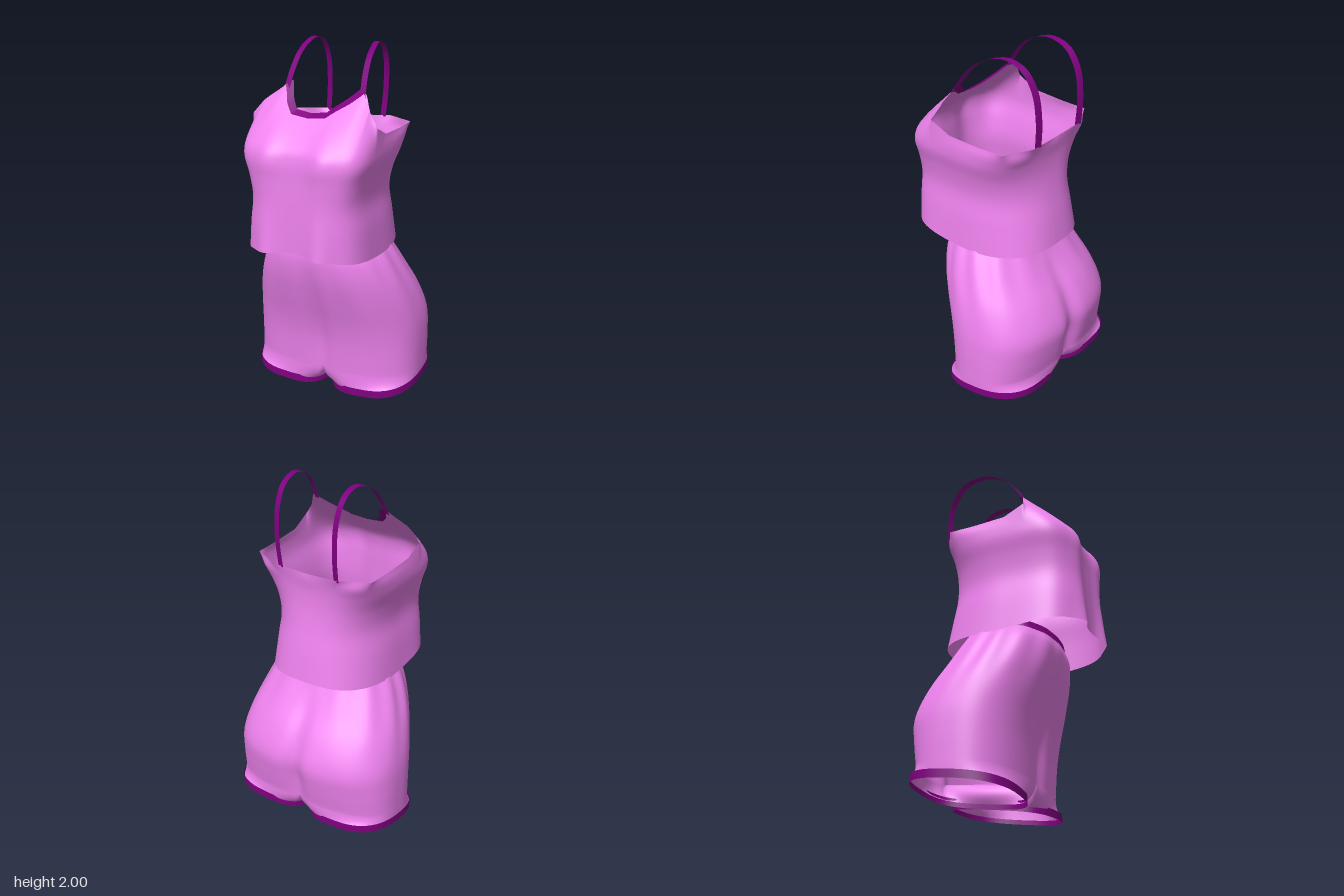
import * as THREE from 'three';
import { mergeGeometries, mergeVertices } from 'three/addons/utils/BufferGeometryUtils.js';

const pink = new THREE.MeshStandardMaterial({ color: 0xee82ee, side: THREE.DoubleSide });
const purple = new THREE.MeshStandardMaterial({ color: 0x800080, side: THREE.DoubleSide });
const V = (x, y, z) => new THREE.Vector3(x, y, z);
const { degToRad, lerp } = THREE.MathUtils;

// Surface grid from f(u, v); flip reverses the winding for mirrored halves
function grid(nu, nv, f, flip = false) {
  const pos = [], idx = [];
  for (let i = 0; i <= nu; i++)
    for (let j = 0; j <= nv; j++) pos.push(...f(i / nu, j / nv).toArray());
  for (let i = 0; i < nu; i++)
    for (let j = 0; j < nv; j++) {
      const a = i * (nv + 1) + j, b = a + nv + 1;
      if (flip) idx.push(a, b + 1, b, a, a + 1, b + 1);
      else idx.push(a, b, b + 1, a, b + 1, a + 1);
    }
  const g = new THREE.BufferGeometry();
  g.setAttribute('position', new THREE.Float32BufferAttribute(pos, 3));
  g.setIndex(idx);
  return g;
}

// Weld the patches of a part and smooth it
function part(name, material, ...patches) {
  const g = mergeVertices(mergeGeometries(patches), 1e-4);
  g.computeVertexNormals();
  const mesh = new THREE.Mesh(g, material);
  mesh.name = name;
  return mesh;
}

// Unit superellipse: [x, z] in direction a, starting at the front
function squircle(a, n) {
  const s = Math.sin(a), c = Math.cos(a);
  const r = (Math.abs(s) ** n + Math.abs(c) ** n) ** (-1 / n);
  return [s * r, c * r];
}

// ---- Camisole ----
// y, half width, front z, back z, front lobe depth, squareness of front and back
const shirtRows = [
  [0.92, 0.348, 0.445, -0.367, 0.042, 4.2, 2.6],
  [1.08, 0.335, 0.445, -0.345, 0.025, 4.2, 2.4],
  [1.22, 0.32, 0.442, -0.32, 0.015, 4.2, 2.4],
  [1.34, 0.338, 0.437, -0.305, 0.018, 4.6, 2.7],
  [1.44, 0.366, 0.432, -0.305, 0.025, 5, 3.4],
  [1.51, 0.37, 0.41, -0.315, 0.02, 4.6, 4.6],
];
// Upper edge from front centre to back centre: angle, x, y, z
const edge = [
  [0, 0, 1.65, 0.27], [18, 0.1, 1.66, 0.262], [29, 0.175, 1.72, 0.2], [36, 0.235, 1.785, 0.135],
  [46, 0.305, 1.71, 0.18], [68, 0.37, 1.625, 0.21], [82, 0.365, 1.57, 0.09], [105, 0.36, 1.56, -0.1],
  [132, 0.355, 1.56, -0.25], [155, 0.2, 1.56, -0.33], [180, 0, 1.545, -0.315],
];

// The strap points sit slightly towards the left
function topEdge(deg) {
  const d = Math.abs(deg), s = Math.sign(deg) || 1;
  let i = 0;
  while (i < edge.length - 2 && edge[i + 1][0] < d) i++;
  const [a, b] = [edge[i], edge[i + 1]];
  const t = (d - a[0]) / (b[0] - a[0]);
  const p = V(...a.slice(1)).lerp(V(...b.slice(1)), t);
  return p.setX(p.x * s + 0.03 * Math.exp(-(((d - 36) / 8) ** 2)));
}

// Broad, square front and a rounder back
function shirtPoint([y, w, zf, zb, lobe, nFront, nBack], a, isHem) {
  const front = Math.cos(a) > 0, zc = 0.08;
  const [sx, sz] = squircle(a, front ? nFront : nBack);
  const x = w * sx;
  let z = zc + (front ? zf - zc : zc - zb) * sz;
  if (front) z += lobe * sz * Math.exp(-(((Math.abs(x) - 0.16) / 0.07) ** 2));
  if (isHem) y = 0.9175 + 0.015 * Math.cos(a) + 0.0225 * Math.cos(2 * a);
  return V(x, y, z);
}

function camisole() {
  const group = new THREE.Group();
  group.name = 'camisole';
  const columns = new Map();
  const body = grid(180, 26, (u, v) => {
    const deg = -180 + 360 * u;
    if (!columns.has(u)) {
      const pts = shirtRows.map((r, i) => shirtPoint(r, degToRad(deg), i === 0));
      columns.set(u, new THREE.CatmullRomCurve3([...pts, topEdge(deg)]));
    }
    return columns.get(u).getPoint(v);
  });
  group.add(part('camisoleBody', pink, body));

  // Neckline binding, rolled up and inwards
  group.add(part('necklineTrim', purple, grid(36, 1, (u, v) => {
    const p = topEdge(-36 + 72 * u);
    return V(p.x * (1 - 0.12 * v), p.y + 0.02 * v, p.z + 0.006 - 0.042 * v);
  })));

  // Shoulder straps: a shared arc, with x running from front to back
  const arc = [[1.76, 0.15], [1.85, 0.095], [1.935, 0.02], [1.985, -0.07], [2, -0.155],
    [1.965, -0.25], [1.86, -0.315], [1.7, -0.335], [1.55, -0.325]];
  for (const [name, xs] of [['leftStrap', [0.255, 0.195, 0.155]], ['rightStrap', [-0.195, -0.18, -0.19]]]) {
    const path = new THREE.CatmullRomCurve3(arc.map(([y, z], i) =>
      V(i < 4 ? lerp(xs[0], xs[1], i / 4) : lerp(xs[1], xs[2], (i - 4) / 4), y, z)));
    group.add(part(name, purple, grid(1, 40, (u, v) => {
      const p = path.getPoint(v);
      return p.add(V((u - 0.5) * 0.038, 0, (u - 0.5) * 0.012));
    })));
  }
  return group;
}

// ---- Shorts ----
// y, half width, front z, back z, z of widest point, centre crease, pleat depth, rise at the back
const shortsRows = [
  [0.14, 0.505, 0.135, -0.45, -0.16, 0.03, 0, 0.06],
  [0.32, 0.505, 0.153, -0.475, -0.16, 0.04, 0, 0],
  [0.45, 0.498, 0.18, -0.49, -0.15, 0.035, 0, 0],
  [0.6, 0.468, 0.225, -0.435, -0.1, 0.028, 0.003, 0],
  [0.74, 0.42, 0.262, -0.345, -0.04, 0.02, 0.01, 0],
  [0.86, 0.362, 0.274, -0.265, 0, 0.008, 0.014, 0.015],
  [0.925, 0.31, 0.258, -0.215, 0.02, 0, 0.005, 0.05],
];

// Point on the outer half section, t = 0 front centre to 1 back centre
function shortsPoint([y, w, zf, zb, zc, crease, pleat, rise], t) {
  const a = t * Math.PI;
  const [sx, sz] = squircle(a, 2.75 - 0.5 * y);
  const k = 1 + pleat * Math.cos(14 * a);
  const x = w * sx * k;
  let z = zc + (sz > 0 ? zf - zc : zc - zb) * sz * k;
  z -= sz * crease * (sz > 0 ? 0.7 : 1) * Math.exp(-((x / 0.06) ** 2));
  return V(x, y + rise * (1 - Math.cos(a)) / 2, z);
}

// Leg opening, t = 0..1 round the outside and 1..1.4 along the inner leg
function hemPoint(t, grow = 1) {
  const a = degToRad(t <= 1 ? -45 + 270 * t : 225 + 225 * (t - 1));
  const [sx, sz] = squircle(a, Math.sin(a) > 0 ? 2.5 : 3.2);
  const x = 0.256 + 0.247 * grow * sx, z = -0.155 + 0.285 * grow * sz;
  return V(x, 0.07 * x + 0.14 * (0.13 - z), z);
}

// Top of the leg: the outer section, then the crotch seam back to front
function legTop(t) {
  if (t <= 1) return shortsPoint(shortsRows[0], t);
  return shortsPoint(shortsRows[0], 1).lerp(shortsPoint(shortsRows[0], 0), (t - 1) / 0.4);
}

function shorts() {
  const group = new THREE.Group();
  group.name = 'shorts';
  const patches = [], waist = [];
  for (const side of [1, -1]) {
    const mirror = p => p.setX(p.x * side);
    const flip = side < 0;
    const columns = new Map();
    // Hips from crotch level to waist
    patches.push(grid(80, 24, (u, v) => {
      if (!columns.has(u)) columns.set(u, new THREE.CatmullRomCurve3(shortsRows.map(r => shortsPoint(r, u))));
      return mirror(columns.get(u).getPoint(v));
    }, flip));
    // Leg from hem to crotch level, easing into the hips, hollowed on the inner side
    patches.push(grid(112, 8, (u, v) => {
      const t = 1.4 * u, h = hemPoint(t).add(V(0, 0.02, 0)), top = legTop(t);
      const ease = 1 - (1 - v) ** 2;
      const hollow = t > 1 ? 0.03 * Math.sin(Math.PI * v) * Math.sin(Math.PI * (t - 1) / 0.4) : 0;
      return mirror(V(lerp(h.x, top.x, ease) + hollow, lerp(h.y, top.y, v), lerp(h.z, top.z, ease)));
    }, flip));
    // Leg binding
    group.add(part(side > 0 ? 'leftLegTrim' : 'rightLegTrim', purple, grid(112, 1, (u, v) =>
      mirror(hemPoint(1.4 * u, 1.012).add(V(0, 0.045 * v - 0.006, 0))), flip)));
    // Half of the waistband
    waist.push(grid(80, 1, (u, v) => {
      const p = shortsPoint(shortsRows[6], u), k = 1.01 - 0.03 * v;
      return mirror(V(p.x * k, p.y - 0.007 + 0.042 * v, p.z * k));
    }, flip));
  }
  group.add(part('shortsBody', pink, ...patches));
  group.add(part('waistband', purple, ...waist));
  return group;
}

export function createModel() {
  const model = new THREE.Group();
  model.name = 'pyjamaSet';
  model.add(camisole(), shorts());
  return model;
}
